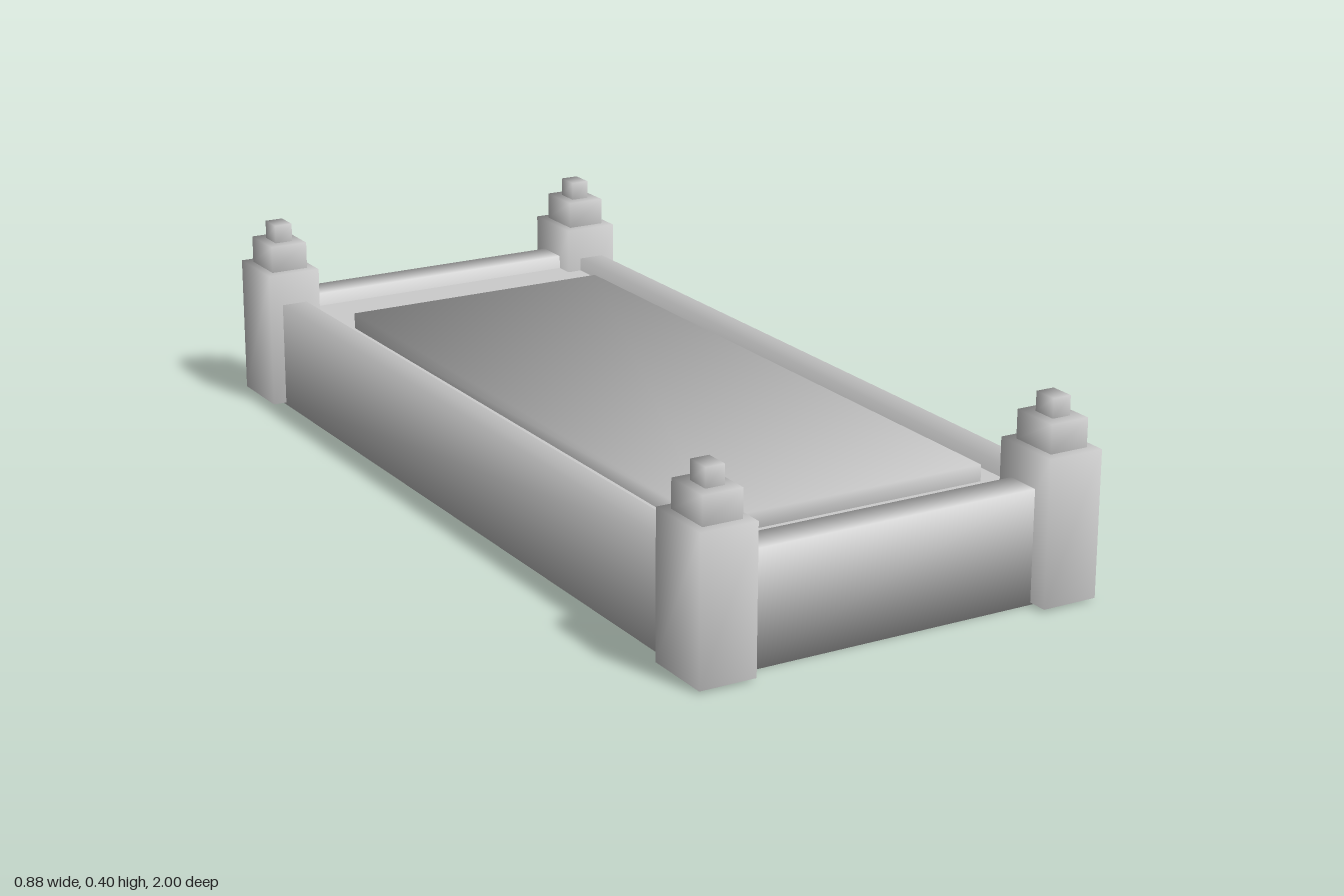
import * as THREE from 'three';

const stone = new THREE.MeshStandardMaterial({ color: 0xcccccc, side: THREE.DoubleSide });
stone.name = 'grey stone';

// Block between two corners with soft shared-corner normals.
// axis: the length axis left out of the smoothing; open: leave off the underside.
function block(name, min, max, { axis = null, open = false } = {}) {
  const size = max.map((v, i) => v - min[i]);
  const geo = new THREE.BoxGeometry(...size);
  const pos = geo.attributes.position;
  const n = new THREE.Vector3();
  for (let i = 0; i < pos.count; i++) {
    n.set(Math.sign(pos.getX(i)), Math.sign(pos.getY(i)), Math.sign(pos.getZ(i)));
    if (axis) n[axis] = 0;
    if (open && n.y < 0) n.y = 0;
    n.normalize();
    geo.attributes.normal.setXYZ(i, n.x, n.y, n.z);
  }
  if (open) {
    const index = Array.from(geo.index.array);
    index.splice(18, 6); // underside face
    geo.setIndex(index);
    geo.clearGroups();
  }
  geo.translate(...max.map((v, i) => (v + min[i]) / 2));
  const mesh = new THREE.Mesh(geo, stone);
  mesh.name = name;
  return mesh;
}

// Corner post: three stepped tiers, hollow underneath
function cornerPost(name) {
  const post = new THREE.Group();
  post.name = name;
  const tiers = [
    ['postShaft', 0.12, 0.153, 0.005, 0.305],
    ['postCap', 0.084, 0.107, 0.305, 0.364],
    ['postFinial', 0.04, 0.053, 0.364, 0.404],
  ];
  for (const [part, w, d, y0, y1] of tiers) {
    post.add(block(part, [-w / 2, y0, -d / 2], [w / 2, y1, d / 2], { open: true }));
  }
  return post;
}

export function createModel() {
  const model = new THREE.Group();
  model.name = 'stoneEnclosure';

  // Four corner posts
  for (const [sx, side] of [[1, 'left'], [-1, 'right']]) {
    for (const [sz, end] of [[1, 'Front'], [-1, 'Back']]) {
      const post = cornerPost(side + end + 'Post');
      post.position.set(sx * 0.38, 0, sz * 0.9235);
      model.add(post);
    }
  }

  // Curb walls between the posts
  const top = 0.234;
  model.add(block('frontWall', [-0.327, 0, 0.882], [0.327, top, 0.957], { axis: 'x' }));
  model.add(block('backWall', [-0.327, 0, -0.965], [0.327, top, -0.89], { axis: 'x' }));
  model.add(block('leftWall', [0.352, 0, -0.91], [0.41, top, 0.855], { axis: 'z' }));
  model.add(block('rightWall', [-0.41, 0, -0.91], [-0.352, top, 0.855], { axis: 'z' }));

  // Sunken bed inside the curb
  const bed = new THREE.Mesh(new THREE.PlaneGeometry(0.705, 1.772).rotateX(-Math.PI / 2), stone);
  bed.name = 'bed';
  bed.position.set(0, 0.205, -0.004);
  model.add(bed);

  // Raised slab resting on the bed
  model.add(block('slab', [-0.305, 0.205, -0.695], [0.305, 0.239, 0.807], { open: true }));

  return model;
}
